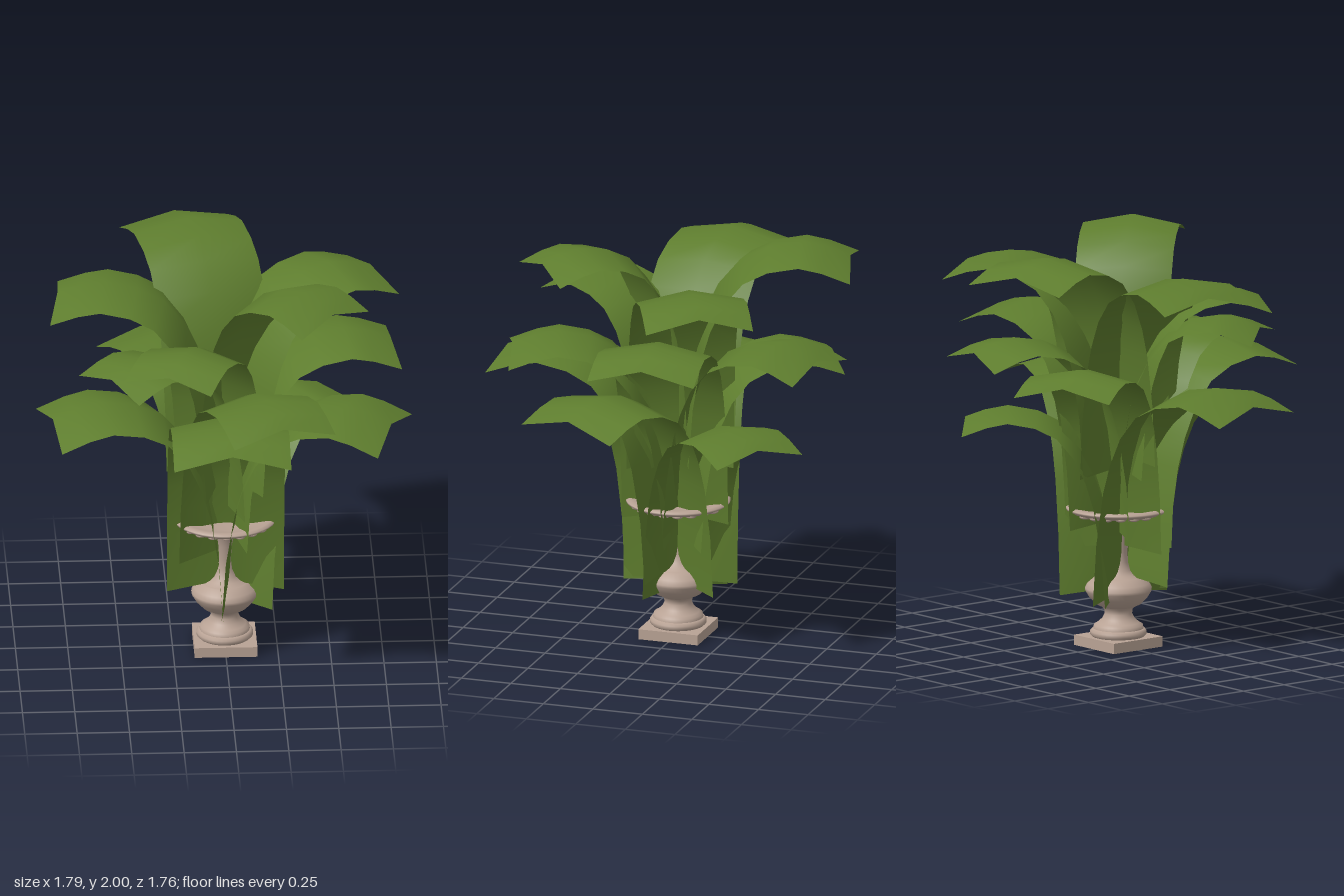
import * as THREE from 'three';

const leafGreen = new THREE.MeshStandardMaterial({ color: 0x5e7d2e, side: THREE.DoubleSide });
leafGreen.name = 'leafGreen';
const stone = new THREE.MeshStandardMaterial({ color: 0xb8a294, side: THREE.DoubleSide });
stone.name = 'stone';

// Midrib of a full-size leaf: distance from the axis, height relative to the crest
const MIDRIB = [
  [0.02, -1.08], [0.04, -0.8], [0.085, -0.53], [0.13, -0.38], [0.2, -0.23],
  [0.31, -0.1], [0.45, -0.03], [0.62, 0], [0.75, -0.025], [0.86, -0.065],
];
const HALF_WIDTH = 0.28, FOLD = 0.055;

// A strip with a roof-like fold, swept along the midrib
function leafGeometry() {
  const positions = [], index = [];
  const last = MIDRIB.length - 1;
  MIDRIB.forEach(([r, y], i) => {
    const a = MIDRIB[Math.max(i - 1, 0)], b = MIDRIB[Math.min(i + 1, last)];
    const t = new THREE.Vector2(b[0] - a[0], b[1] - a[1]).normalize();
    // the side edges reach a little further than the midrib at both ends
    const reach = i === 0 ? -0.03 : i === last ? 0.04 : 0;
    const er = r + t.y * FOLD + t.x * reach;
    const ey = y - t.x * FOLD + t.y * reach;
    positions.push(-HALF_WIDTH, ey, er, 0, y, r, HALF_WIDTH, ey, er);
    if (i < last) {
      for (let c = 0; c < 2; c++) {
        const p = i * 3 + c;
        index.push(p, p + 3, p + 1, p + 1, p + 3, p + 4);
      }
    }
  });
  // wind the faces so that the upper side is the front
  for (let k = 0; k < index.length; k += 3) {
    [index[k + 1], index[k + 2]] = [index[k + 2], index[k + 1]];
  }
  const g = new THREE.BufferGeometry();
  g.setAttribute('position', new THREE.Float32BufferAttribute(positions, 3));
  g.setIndex(index);
  g.computeVertexNormals();
  return g;
}

// Each leaf: direction x, direction z, crest height, size
const LEAVES = [
  [-0.215, -0.835, 1.98, 0.96], [0.5, 0.52, 2.0, 0.83],
  [-0.825, -0.095, 1.88, 0.93], [0.74, -0.365, 1.88, 0.92],
  [-0.305, 0.645, 1.73, 0.8], [0.83, -0.09, 1.62, 0.93],
  [-0.585, 0.435, 1.635, 0.81], [0.17, -0.78, 1.55, 0.9],
  [0.26, 0.785, 1.515, 0.92], [-0.385, -0.67, 1.44, 0.87],
  [0, 1, 1.43, 1], [0.82, 0.3, 1.33, 0.97],
  [-0.87, 0.165, 1.33, 0.98], [0.48, -0.58, 1.17, 0.85],
];

function createLeaves() {
  const leaves = new THREE.Group();
  leaves.name = 'leaves';
  const geometry = leafGeometry();
  for (const [dx, dz, crest, size] of LEAVES) {
    const leaf = new THREE.Mesh(geometry, leafGreen);
    leaf.name = 'leaf';
    leaf.rotation.y = Math.atan2(dx, dz);
    leaf.position.y = crest;
    leaf.scale.setScalar(size);
    leaves.add(leaf);
  }
  return leaves;
}

function createUrn() {
  const urn = new THREE.Group();
  urn.name = 'urn';

  const plinth = new THREE.Mesh(new THREE.BoxGeometry(0.3, 0.05, 0.3), stone);
  plinth.name = 'plinth';
  plinth.position.y = 0.025;
  urn.add(plinth);

  const lathe = (name, points) => {
    const profile = points.map(([r, y]) => new THREE.Vector2(r, y));
    const mesh = new THREE.Mesh(new THREE.LatheGeometry(profile, 40), stone);
    mesh.name = name;
    urn.add(mesh);
  };
  lathe('footRing', [[0.125, 0.05], [0.135, 0.06], [0.135, 0.075], [0.125, 0.087], [0.1, 0.09]]);
  lathe('foot', [[0.12, 0.088], [0.117, 0.105], [0.1, 0.115], [0.078, 0.135], [0.066, 0.16],
    [0.068, 0.182], [0.085, 0.197]]);
  lathe('belly', [[0.08, 0.193], [0.11, 0.208], [0.14, 0.24], [0.158, 0.27], [0.16, 0.285],
    [0.148, 0.308], [0.115, 0.335], [0.1, 0.338]]);
  lathe('stem', [[0.105, 0.337], [0.08, 0.35], [0.06, 0.37], [0.046, 0.41], [0.044, 0.46],
    [0.05, 0.53], [0.062, 0.59], [0.085, 0.625], [0.13, 0.642]]);
  lathe('dish', [[0.12, 0.64], [0.19, 0.643], [0.23, 0.655], [0.25, 0.668], [0.25, 0.676],
    [0.235, 0.684], [0.21, 0.68], [0.15, 0.665], [0, 0.655]]);

  // Rounded lobes under the rim
  const lobeGeometry = new THREE.SphereGeometry(1, 10, 6);
  const count = 20;
  for (let i = 0; i < count; i++) {
    const a = (i / count) * Math.PI * 2;
    const lobe = new THREE.Mesh(lobeGeometry, stone);
    lobe.name = 'rimLobe';
    lobe.scale.set(0.03, 0.014, 0.035);
    lobe.position.set(Math.sin(a) * 0.2, 0.653, Math.cos(a) * 0.2);
    lobe.rotation.y = a;
    urn.add(lobe);
  }
  return urn;
}

export function createModel() {
  const model = new THREE.Group();
  model.name = 'pottedPlant';
  model.add(createUrn(), createLeaves());
  return model;
}
